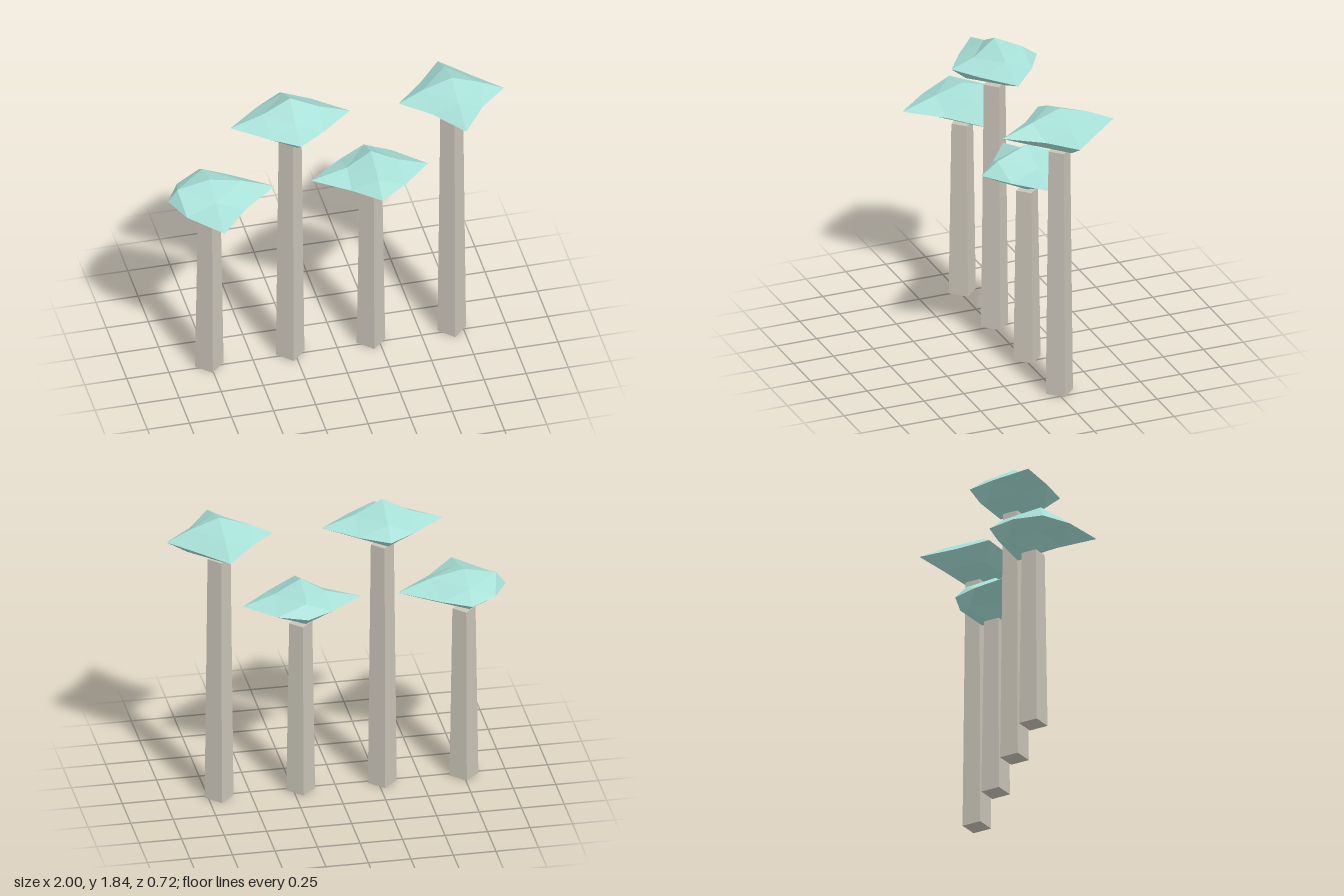
import * as THREE from 'three';

const stone = new THREE.MeshStandardMaterial({ color: 0xc9c4b8, flatShading: true });
const teal = new THREE.MeshStandardMaterial({ color: 0xa6dfd7, flatShading: true });

const FLATTEN = 0.4; // cap height relative to its width
const CENTER_Z = -0.02;

// Order of the reach values: tips, rim corners, upper ridges, lower ridges
const DIRECTIONS = [
  '1,0,0', '-1,0,0', '0,1,0', '0,-1,0', '0,0,1', '0,0,-1',
  '1,0,1', '-1,0,1', '1,0,-1', '-1,0,-1',
  '1,1,0', '-1,1,0', '0,1,1', '0,1,-1',
  '1,-1,0', '-1,-1,0', '0,-1,1', '0,-1,-1',
];

const MUSHROOMS = [
  { x: -0.755, stem: 1.085, rim: 1.22, reach: [
    0.39, 0.245, 0.29, 0.3, 0.375, 0.26, 0.175, 0.175, 0.165, 0.155,
    0.19, 0.19, 0.165, 0.17, 0.185, 0.13, 0.17, 0.16] },
  { x: -0.275, stem: 1.55, rim: 1.685, reach: [
    0.355, 0.355, 0.385, 0.325, 0.27, 0.265, 0.16, 0.16, 0.165, 0.16,
    0.167, 0.163, 0.13, 0.17, 0.18, 0.17, 0.18, 0.17] },
  { x: 0.205, stem: 1.085, rim: 1.22, reach: [
    0.34, 0.355, 0.375, 0.35, 0.285, 0.24, 0.165, 0.15, 0.17, 0.155,
    0.158, 0.142, 0.185, 0.175, 0.158, 0.155, 0.16, 0.16] },
  { x: 0.685, stem: 1.55, rim: 1.685, reach: [
    0.31, 0.315, 0.325, 0.335, 0.355, 0.34, 0.147, 0.15, 0.16, 0.155,
    0.17, 0.175, 0.17, 0.185, 0.187, 0.18, 0.18, 0.18] },
];

// Faceted cap: a once-divided octahedron, each corner pulled to its own reach
function capGeometry(reach) {
  const geometry = new THREE.OctahedronGeometry(1, 1);
  const pos = geometry.attributes.position;
  for (let i = 0; i < pos.count; i++) {
    // "+ 0" turns -0 into 0
    const d = [pos.getX(i), pos.getY(i), pos.getZ(i)]
      .map((v) => (Math.abs(v) < 0.3 ? 0 : Math.sign(v)) + 0);
    const r = reach[DIRECTIONS.indexOf(d.join(','))];
    pos.setXYZ(i, d[0] * r, d[1] * r * FLATTEN, d[2] * r);
  }
  geometry.computeVertexNormals();
  return geometry;
}

export function createModel() {
  const model = new THREE.Group();
  model.name = 'mushroomCluster';

  for (const { x, stem, rim, reach } of MUSHROOMS) {
    const mushroom = new THREE.Group();
    mushroom.name = 'mushroom';
    mushroom.position.set(x, 0, CENTER_Z);

    // Tapered four-sided stem with an edge facing forward
    const stemMesh = new THREE.Mesh(new THREE.CylinderGeometry(0.068, 0.085, stem, 4), stone);
    stemMesh.name = 'stem';
    stemMesh.position.y = stem / 2;

    const cap = new THREE.Mesh(capGeometry(reach), teal);
    cap.name = 'cap';
    cap.position.y = rim;

    mushroom.add(stemMesh, cap);
    model.add(mushroom);
  }
  return model;
}
